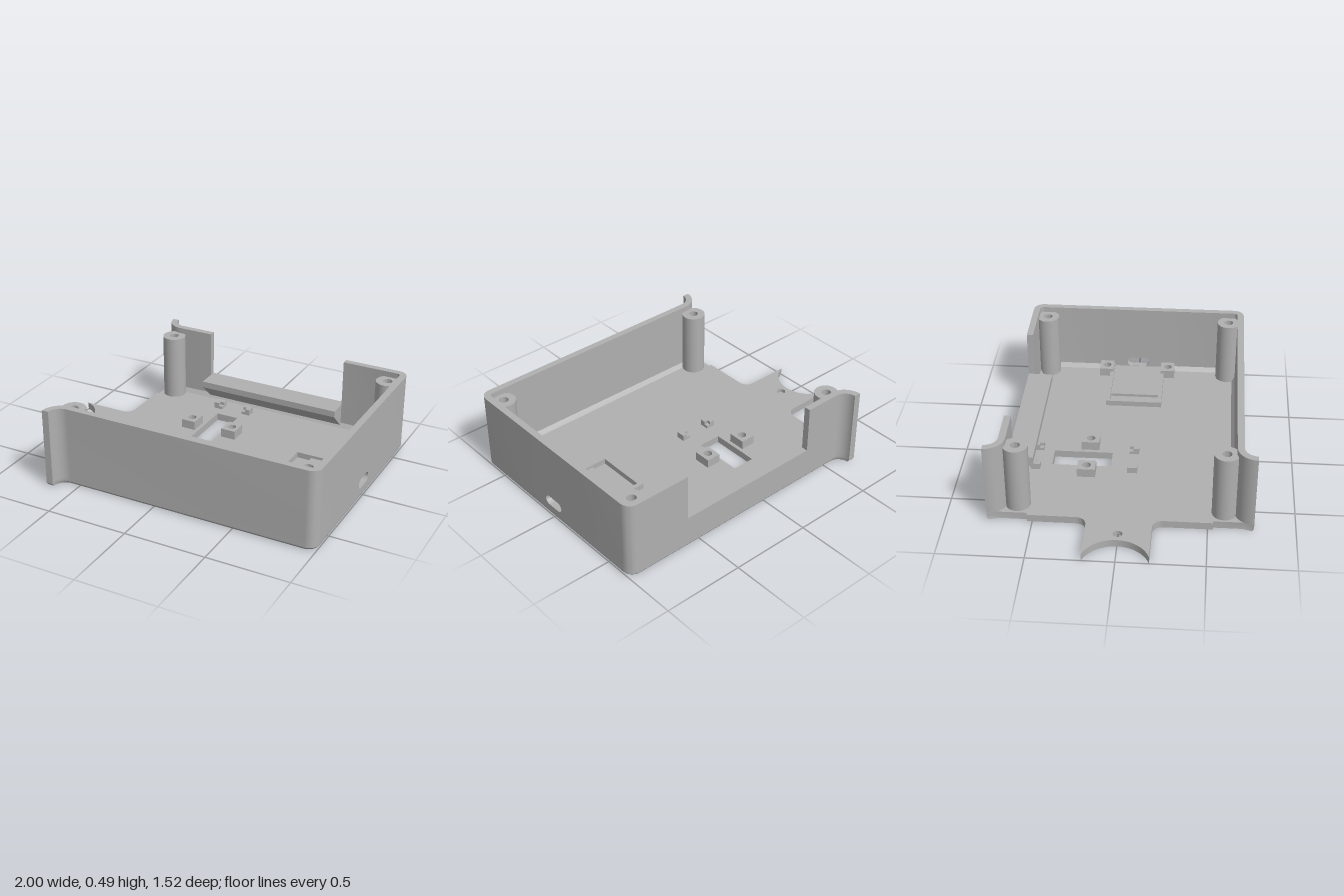
import * as THREE from 'three';
import { toCreasedNormals } from 'three/addons/utils/BufferGeometryUtils.js';

const PI = Math.PI;

// Points along an arc in the floor plan, as [x, z]
function arc(cx, cz, r, a0, a1, n = 10) {
  return Array.from({ length: n + 1 }, (_, i) => {
    const a = a0 + (a1 - a0) * i / n;
    return [cx + r * Math.cos(a), cz + r * Math.sin(a)];
  });
}
const flip = pts => pts.map(([x, z]) => [x, -z]);
const toShape = pts => new THREE.Shape(pts.map(p => new THREE.Vector2(...p)));
const rect = (x0, x1, z0, z1) => [[x0, z0], [x1, z0], [x1, z1], [x0, z1]];
const circle = (x, z, r) => new THREE.Path().absarc(x, z, r, 0, PI * 2, true);

// Extrude a floor-plan outline between two heights
function plan(pts, y0, y1, holes = [], steps = 1) {
  const shape = toShape(pts);
  shape.holes.push(...holes);
  const g = new THREE.ExtrudeGeometry(shape, { depth: y1 - y0, bevelEnabled: false, curveSegments: 16, steps });
  return g.rotateX(PI / 2).translate(0, y1, 0);
}

export function createModel() {
  const group = new THREE.Group();
  const plastic = new THREE.MeshStandardMaterial({ color: 0xb0b0b0 });
  plastic.name = 'grey plastic';
  const add = (name, geo) => {
    const mesh = new THREE.Mesh(toCreasedNormals(geo, 0.6), plastic);
    mesh.name = name;
    group.add(mesh);
    return mesh;
  };

  const FLOOR = 0.045, TOP = 0.49;
  const posts = [[-0.575, 0.592], [-0.575, -0.592], [0.9, 0.592], [0.9, -0.592]];

  // Shared wall curves, drawn for the front side
  const flareOuter = [[-0.678, 0.762], ...arc(-0.56, 0.762, 0.075, PI, PI * 1.5)];
  const flareInner = arc(-0.56, 0.762, 0.115, PI * 1.5, PI);
  const cornerOuter = arc(0.936, 0.624, 0.064, PI / 2, 0);
  const cornerInner = arc(0.936, 0.624, 0.024, 0, PI / 2);
  const wallEnd = [[1, 0.15], [0.96, 0.15]];

  // Floor with tongue, window and screw holes
  const leftEdge = [[-0.66, 0.706], [-0.66, 0.53], [-0.678, 0.53], ...arc(-0.738, 0.248, 0.06, 0, -PI / 2)];
  const outline = [
    ...flareOuter, ...cornerOuter,
    ...flip(cornerOuter).reverse(), ...flip(flareOuter).reverse(),
    ...flip(leftEdge),
    ...arc(-1.062, 0, 0.197, -1.25, 1.25, 20),
    ...leftEdge.slice().reverse(),
  ];
  const floorGeo = plan(outline, 0, FLOOR, [
    ...posts.map(([x, z]) => circle(x, z, 0.05)),
    circle(-0.81, 0, 0.04),
    toShape(rect(-0.178, -0.037, -0.445, -0.09)),
  ], 3);
  // Chamfer the lower outer edge
  const p = floorGeo.attributes.position;
  for (let i = 0; i < p.count; i++) {
    const x = p.getX(i), z = p.getZ(i);
    if (p.getY(i) < 0.001 && (Math.abs(z) > 0.66 || x > 0.96)) {
      p.setX(i, x > 0.9 ? x - 0.01 : x);
      p.setZ(i, z * 0.985);
    }
  }
  add('floor', floorGeo);

  // Step inside the tongue hole
  add('tongueHoleStep', new THREE.LatheGeometry(
    [[0.04, FLOOR], [0.027, FLOOR], [0.027, 0.022], [0.04, 0.022]].map(q => new THREE.Vector2(...q)), 32,
  )).position.set(-0.81, 0, 0);

  // Walls
  add('frontWall', plan([...flareOuter, ...cornerOuter, ...wallEnd, ...cornerInner, ...flareInner], FLOOR, TOP));
  add('backWallRight', plan(flip([...flareOuter, [-0.335, 0.688], [-0.335, 0.648], ...flareInner]), FLOOR, TOP));
  add('backWallLeft', plan(flip([[0.59, 0.688], ...cornerOuter, ...wallEnd, ...cornerInner, [0.59, 0.648]]), FLOOR, TOP));
  add('backWallLow', plan(rect(-0.335, 0.59, -0.688, -0.648), FLOOR, 0.2));

  // Side wall panel with rounded port opening
  const panel = toShape(rect(-0.15, 0.15, FLOOR, TOP));
  panel.holes.push(toShape([
    ...arc(0.043, 0.097, 0.03, 0, PI / 2, 6), ...arc(-0.043, 0.097, 0.03, PI / 2, PI, 6),
    ...arc(-0.043, 0.095, 0.03, PI, PI * 1.5, 6), ...arc(0.043, 0.095, 0.03, PI * 1.5, PI * 2, 6),
  ]));
  add('portPanel', new THREE.ExtrudeGeometry(panel, { depth: 0.04, bevelEnabled: false })
    .rotateY(PI / 2).translate(0.96, 0, 0));

  // Prism along x from a cross-section given as [z, y]
  const prismX = (section, x0, x1) => new THREE.ExtrudeGeometry(
    toShape(section.map(([z, y]) => [-z, y])), { depth: x1 - x0, bevelEnabled: false },
  ).rotateY(PI / 2).translate(x0, 0, 0);

  // Ledge below the back opening, sloped underneath
  add('backLedge', prismX([[-0.65, 0.2], [-0.535, 0.2], [-0.535, 0.16], [-0.65, 0.05]], -0.335, 0.59));

  // Sloped skirting at the foot of the walls
  for (const s of [1, -1]) {
    add('skirting', prismX([[s * 0.65, FLOOR], [s * 0.628, FLOOR], [s * 0.65, 0.075]], -0.56, 0.96));
    const side = new THREE.ExtrudeGeometry(
      toShape([[0.962, FLOOR], [0.94, FLOOR], [0.962, 0.075]]), { depth: 0.45, bevelEnabled: false });
    add('sideSkirting', side.translate(0, 0, s > 0 ? 0.19 : -0.64));
  }

  // Hollow corner posts
  const postProfile = [[0.072, 0.04], [0.072, 0.455], [0.028, 0.455], [0.028, 0.12], [0.05, 0.12], [0.05, FLOOR]]
    .map(q => new THREE.Vector2(...q));
  for (const [x, z] of posts) add('cornerPost', new THREE.LatheGeometry(postProfile, 40)).position.set(x, 0, z);

  // Square screw bosses
  for (const [x, z, w, d] of [[0.903, -0.205, 0.108, 0.09], [0.903, 0.2, 0.108, 0.09],
    [-0.247, -0.23, 0.092, 0.108], [0.033, -0.23, 0.092, 0.108]]) {
    add('screwBoss', plan(rect(x - w / 2, x + w / 2, z - d / 2, z + d / 2), FLOOR, 0.1, [circle(x, z, 0.026)]));
  }

  // Small notched board supports, mirrored around the window
  for (const sx of [1, -1]) for (const sz of [1, -1]) {
    const at = pts => pts.map(([x, z]) => [-0.11 + sx * x, -0.25 + sz * z]);
    add('boardSupport', plan(at([[0.095, 0.262], [0.125, 0.262], [0.125, 0.32], [0.07, 0.32], [0.07, 0.287], [0.095, 0.287]]), FLOOR, 0.083));
    add('supportStep', plan(at(rect(0.07, 0.095, 0.262, 0.287)), FLOOR, 0.063));
  }

  // Tray behind the port: raised rim and inner plateau
  add('trayRim', plan([[0.96, -0.18], [0.49, -0.18], [0.49, 0.177], [0.96, 0.177],
    [0.96, 0.152], [0.515, 0.152], [0.515, -0.155], [0.96, -0.155]], FLOOR, 0.08));
  add('trayPlateau', plan(rect(0.605, 0.96, -0.155, 0.152), FLOOR, 0.063));

  return group;
}
